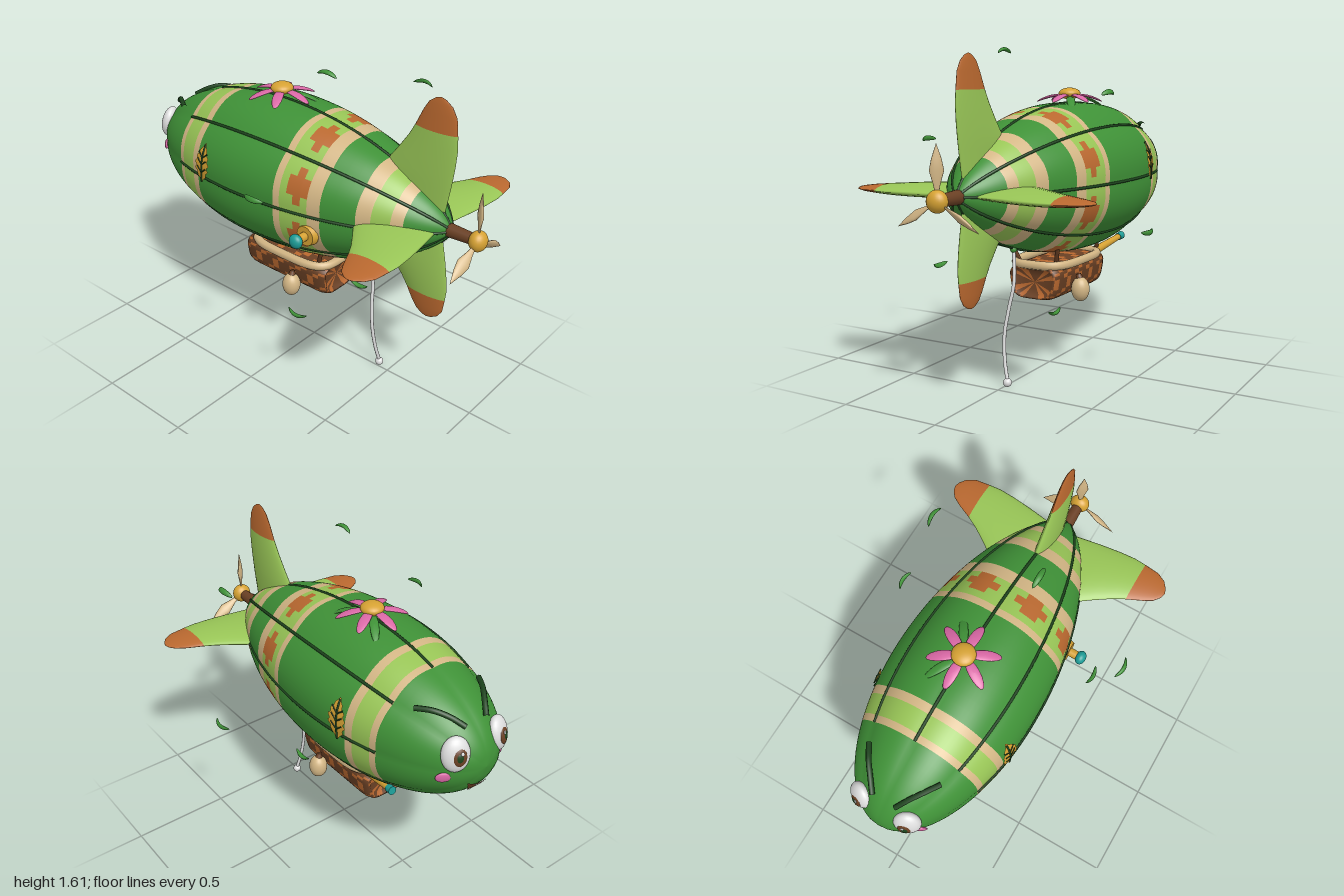
import * as THREE from 'three';

const mat = (name, color) => Object.assign(new THREE.MeshStandardMaterial({ color }), { name });
const V = (x, y, z) => new THREE.Vector3(x, y, z);
const CY = 0.96; // height of the hull axis

// Hull radius along z, with eight soft lobes between the seams
function hullRadius(z) {
  const t = z < -0.2 ? (z + 0.2) / 0.8 : (z + 0.2) / 1.02;
  return 0.388 * Math.pow(Math.max(0, 1 - t * t), z < -0.2 ? 0.5 : 0.685);
}
function hull(z, a, off = 0) {
  const r = hullRadius(z) * (1 - 0.03 * (1 - Math.abs(Math.sin(4 * a)))) + off;
  return V(r * Math.cos(a), CY + r * Math.sin(a), z);
}
// Point on the nose for a given x and y
function nose(x, y, off) {
  const q = (x * x + (y - CY) ** 2) / 0.388 ** 2;
  return V(x, y, -0.2 - 0.8 * Math.sqrt(Math.max(0, 1 - q)) - off);
}

// Grid surface: rows x cols cells, optional wrap, one material index per cell
function loft(rows, cols, point, mats, pick = () => 0, wrap = true) {
  const pos = [], lists = mats.map(() => []), n = wrap ? cols : cols + 1;
  for (let i = 0; i <= rows; i++) for (let j = 0; j < n; j++) pos.push(...point(i, j).toArray());
  for (let i = 0; i < rows; i++) for (let j = 0; j < cols; j++) {
    const k = (j + 1) % n, a = i * n + j, b = i * n + k, c = a + n, d = b + n;
    lists[pick(i, j)].push(a, b, c, b, d, c);
  }
  const g = new THREE.BufferGeometry();
  g.setAttribute('position', new THREE.Float32BufferAttribute(pos, 3));
  g.setIndex(lists.flat());
  let start = 0;
  lists.forEach((l, m) => { g.addGroup(start, l.length, m); start += l.length; });
  g.computeVertexNormals();
  return new THREE.Mesh(g, mats);
}

export function createModel() {
  const model = new THREE.Group();
  const green = mat('hull green', 0x3f9137), lime = mat('light green', 0x98c556), dark = mat('dark green', 0x1c421c);
  const tan = mat('tan', 0xd3b685), brown = mat('brown', 0x6a4024), rust = mat('rust', 0xb9682f);
  const gold = mat('gold', 0xd6a233), pink = mat('pink', 0xd967a5), white = mat('white', 0xdedede), teal = mat('teal', 0x1c9c96);
  const add = (name, mesh, parent = model) => { mesh.name = name; parent.add(mesh); return mesh; };
  const ball = (name, m, p, s, parent) => {
    const b = add(name, new THREE.Mesh(new THREE.SphereGeometry(1, 24, 16), m), parent);
    b.position.copy(p); b.scale.set(...s); return b;
  };
  const rod = (name, m, a, b, r0, r1 = r0) => {
    const c = add(name, new THREE.Mesh(new THREE.CylinderGeometry(r1, r0, a.distanceTo(b), 16), m));
    c.position.copy(a).lerp(b, 0.5);
    c.quaternion.setFromUnitVectors(V(0, 1, 0), b.clone().sub(a).normalize());
    return c;
  };
  const tube = (name, m, pts, r, closed = false, seg = 40) =>
    add(name, new THREE.Mesh(new THREE.TubeGeometry(new THREE.CatmullRomCurve3(pts, closed), seg, r, 8, closed), m));

  // Hull with painted bands: [start z, material index]
  const bands = [[-1, 0], [-0.635, 2], [-0.603, 1], [-0.507, 2], [-0.465, 0], [0.052, 2], [0.088, 1], [0.125, 3], [0.16, 4],
    [0.2, 3], [0.235, 2], [0.3, 0], [0.465, 2], [0.53, 1], [0.61, 2], [0.66, 0], [0.82, 0]];
  const zs = bands.map(b => b[0]);
  for (let k = 1; k < 48; k++) {
    const c = Math.cos(Math.PI * k / 48), z = c > 0 ? -0.2 - 0.8 * c : -0.2 - 1.02 * c;
    if (zs.every(q => Math.abs(q - z) > 0.006)) zs.push(z);
  }
  zs.sort((a, b) => a - b);
  add('hull', loft(zs.length - 1, 96, (i, j) => hull(zs[i], j / 96 * Math.PI * 2), [green, lime, tan, rust], (i, j) => {
    const mid = (zs[i] + zs[i + 1]) / 2, id = bands.filter(b => b[0] <= mid).pop()[1], c = j % 12;
    if (id === 3) return c >= 4 && c < 8 ? 3 : 1;
    if (id === 4) return c >= 2 && c < 10 ? 3 : 1;
    return id;
  }));

  // Seams
  for (let k = 0; k < 8; k++) {
    const pts = [];
    for (let i = 0; i <= 20; i++) pts.push(hull(-0.635 + 1.45 * i / 20, k * Math.PI / 4, 0.001));
    tube('seam', dark, pts, 0.007);
  }

  // Four tail fins: span, leading z, trailing z, half thickness
  const fin = [[0.05, 0.36, 0.77, 0.03], [0.2, 0.41, 0.795, 0.034], [0.26, 0.455, 0.803, 0.033], [0.32, 0.5, 0.81, 0.031],
    [0.4, 0.555, 0.815, 0.027], [0.46, 0.588, 0.81, 0.023], [0.46, 0.588, 0.81, 0.023], [0.54, 0.625, 0.8, 0.016],
    [0.585, 0.652, 0.775, 0.01], [0.61, 0.685, 0.74, 0.005], [0.618, 0.712, 0.713, 0.0005]];
  for (let k = 0; k < 4; k++) {
    const a = k * Math.PI / 2, span = V(Math.cos(a), Math.sin(a), 0), chord = V(0, 0, 1), f = k === 3 ? 0.835 : 1;
    const m = add('tailFin', loft(fin.length - 1, 24, (i, j) => {
      const [s, z0, z1, h] = fin[i], t = j / 24 * Math.PI * 2, c = Math.cos(t);
      return V(h * c * Math.abs(c) ** 0.3, (z0 + z1) / 2 + (z1 - z0) / 2 * Math.sin(t), s * f);
    }, [lime, rust], i => (i >= 5 ? 1 : 0)));
    m.quaternion.setFromRotationMatrix(new THREE.Matrix4().makeBasis(chord.clone().cross(span), chord, span));
    m.position.y = CY;
  }

  // Propeller
  rod('propellerShaft', brown, V(0, CY, 0.77), V(0, CY, 0.94), 0.036, 0.027);
  ball('propellerHub', gold, V(0, CY, 0.955), [0.05, 0.05, 0.042]);
  const blade = new THREE.LatheGeometry([[0.008, 0.03], [0.015, 0.07], [0.032, 0.13], [0.022, 0.18], [0, 0.245]]
    .map(p => new THREE.Vector2(...p)), 16).scale(1, 1, 0.4).rotateY(0.8);
  for (let k = 0; k < 3; k++) {
    const b = add('propellerBlade', new THREE.Mesh(blade, tan));
    b.position.set(0, CY, 0.955); b.rotation.z = k * Math.PI * 2 / 3;
  }

  // Face: eyes, brows, cheeks
  for (const s of [-1, 1]) {
    const eye = add('eye', new THREE.Group());
    eye.position.set(s * 0.125, 1.045, -0.93);
    eye.lookAt(s * 0.52, 1.25, -1.8);
    ball('eyeWhite', white, V(0, 0, 0), [0.066, 0.084, 0.04], eye);
    ball('iris', brown, V(s * 0.008, -0.004, 0.03), [0.034, 0.043, 0.014], eye);
    ball('pupil', dark, V(s * 0.008, -0.004, 0.038), [0.018, 0.024, 0.008], eye);
    ball('glint', white, V(s * 0.018, 0.016, 0.043), [0.008, 0.009, 0.004], eye);
    tube('brow', dark, [V(s * 0.06, 1.15, -0.915), V(s * 0.1, 1.185, -0.86), V(s * 0.145, 1.205, -0.8), V(s * 0.19, 1.2, -0.73)], 0.013);
    const cheek = ball('cheek', pink, nose(s * 0.172, 0.93, 0), [0.036, 0.026, 0.01]);
    cheek.lookAt(s * 0.6, 0.9, -1.6);
  }
  // Open smile with tongue, laid on the nose
  const smile = (name, m, w, top, drop, curl, off) => add(name, loft(16, 6, (i, j) => {
    const u = i / 8 - 1, y1 = top + curl * u * u;
    return nose(w * u, y1 - (1 - j / 6) * drop * (1 - u * u), off);
  }, [m], () => 0, false));
  smile('mouth', brown, 0.08, 0.865, 0.082, 0.025, 0.005);
  smile('tongue', pink, 0.045, 0.815, 0.03, 0.003, 0.008);
  smile('teeth', white, 0.05, 0.862, 0.014, 0.01, 0.008);

  // Leaf emblems on both flanks
  for (const s of [-1, 1]) {
    const at = (t, w) => {
      const a = -0.06 + 0.56 * t;
      return hull(-0.428 + 0.015 * t + w, s > 0 ? a : Math.PI - a, 0.009);
    };
    add('leafEmblem', loft(4, 24, (i, j) => {
      const t = s > 0 ? j / 24 : 1 - j / 24, w = 0.054 * Math.sin(Math.PI * t ** 0.85) * (j % 4 < 2 ? 1 : 0.82);
      return at(t, (i / 2 - 1) * w);
    }, [gold], () => 0, false));
    tube('leafVein', dark, [0, 0.25, 0.5, 0.75, 0.95].map(t => at(t, 0)), 0.005);
    for (const t of [0.25, 0.45, 0.62]) for (const e of [-1, 1])
      tube('leafVein', dark, [at(t, 0), at(t + 0.07, e * 0.018), at(t + 0.13, e * 0.034)], 0.0035, false, 8);
  }

  // Flower on top
  const flower = add('flower', new THREE.Group());
  flower.position.set(0, 1.365, -0.21);
  ball('flowerCentre', gold, V(0, 0.02, 0), [0.057, 0.03, 0.057], flower);
  const petal = (name, m, a, len, w, y) => {
    const g = new THREE.SphereGeometry(1, 16, 10).scale(len / 2, 0.007, w).translate(len / 2 + 0.02, 0, 0), p = g.attributes.position;
    for (let i = 0; i < p.count; i++) p.setY(i, p.getY(i) + y - 2 * Math.max(0, p.getX(i) - 0.04) ** 2);
    g.computeVertexNormals();
    add(name, new THREE.Mesh(g, m), flower).rotation.y = a;
  };
  for (let k = 0; k < 6; k++) petal('petal', pink, Math.PI / 6 + k * Math.PI / 3, 0.152, 0.026, 0.012);
  petal('flowerLeaf', green, -1.02, 0.2, 0.022, 0);
  petal('flowerLeaf', green, 0.98, 0.18, 0.022, 0);

  // Side horn with a round cap
  rod('hornFlange', gold, V(-0.31, 0.86, 0.235), V(-0.342, 0.86, 0.235), 0.058, 0.05);
  rod('hornPipe', gold, V(-0.33, 0.86, 0.235), V(-0.39, 0.86, 0.235), 0.022);
  ball('hornCap', teal, V(-0.405, 0.86, 0.235), [0.027, 0.036, 0.036]);

  // Woven basket: profile of [z, scale], checked cells
  const ends = [[-0.335, 0], [-0.34, 0.35], [-0.345, 0.68], [-0.36, 0.8], [-0.362, 0.9], [-0.33, 0.98]], prof = [...ends];
  for (let k = 0; k <= 10; k++) prof.push([-0.29 + k * 0.04, 1]);
  ends.slice().reverse().forEach(([z, s]) => prof.push([-0.185 - z, s]));
  const pw = (v, e) => Math.sign(v) * Math.abs(v) ** e;
  add('basket', loft(prof.length - 1, 32, (i, j) => {
    const [z, s] = prof[i], a = (j + 0.5) / 32 * Math.PI * 2, y = pw(Math.sin(a), 0.5);
    return V(s * (0.138 + 0.016 * y) * pw(Math.cos(a), 0.5), 0.455 + 0.09 * s * y, z);
  }, [brown, rust], (i, j) => ((i < 3 || i > prof.length - 5 ? j % 4 < 2 : (i + j) % 3 === 0) ? 1 : 0)));
  const rim = [];
  for (let k = 0; k < 32; k++) {
    const a = k / 32 * Math.PI * 2;
    rim.push(V(0.15 * pw(Math.cos(a), 0.55), 0.545, -0.08 + 0.25 * pw(Math.sin(a), 0.55)));
  }
  tube('basketRim', tan, rim, 0.023, true, 96);
  for (const s of [-1, 1]) {
    for (const z of [0.14, -0.3]) rod('strut', brown, V(s * 0.105, 0.55, z - 0.02), V(s * 0.142, 0.67, z + 0.03), 0.011);
    ball('sandbag', tan, V(s * 0.176, 0.408, -0.005), [0.047, 0.063, 0.047]);
    rod('sandbagTie', brown, V(s * 0.172, 0.46, -0.005), V(s * 0.165, 0.485, -0.005), 0.02, 0.012);
  }

  // Spyglass at the basket's nose end
  rod('spyglass', gold, V(0.11, 0.55, -0.31), V(0.14, 0.592, -0.53), 0.022, 0.016);
  rod('spyglassLens', teal, V(0.139, 0.591, -0.525), V(0.143, 0.597, -0.56), 0.02, 0.022);

  // Trailing rope
  tube('rope', white, [V(0, 0.67, 0.35), V(0.016, 0.5, 0.375), V(-0.005, 0.37, 0.39), V(-0.019, 0.25, 0.407),
    V(-0.008, 0.12, 0.424), V(0.014, 0.03, 0.436)], 0.009);
  ball('ropeWeight', white, V(0.014, 0.021, 0.437), [0.021, 0.021, 0.021]);
  ball('ropeKnot', green, V(0, 0.655, 0.352), [0.017, 0.017, 0.017]);

  // Drifting leaves, bowed away from the hull
  const leafGeo = new THREE.SphereGeometry(1, 12, 16).rotateX(Math.PI / 2).scale(0.009, 0.014, 0.056), lp = leafGeo.attributes.position;
  for (let i = 0; i < lp.count; i++) lp.setX(i, lp.getX(i) - 6 * lp.getZ(i) ** 2);
  leafGeo.computeVertexNormals();
  for (const [x, y, z] of [[-0.145, 1.605, 0.195], [0.48, 1.408, 0.305], [-0.632, 1.155, 0.18], [0.63, 0.765, 0.18], [-0.482, 0.517, 0.3], [0.14, 0.322, 0.195]]) {
    const l = add('driftingLeaf', new THREE.Mesh(leafGeo, green));
    l.position.set(x, y, z);
    l.rotation.z = Math.atan2(y - CY, x);
  }
  return model;
}
